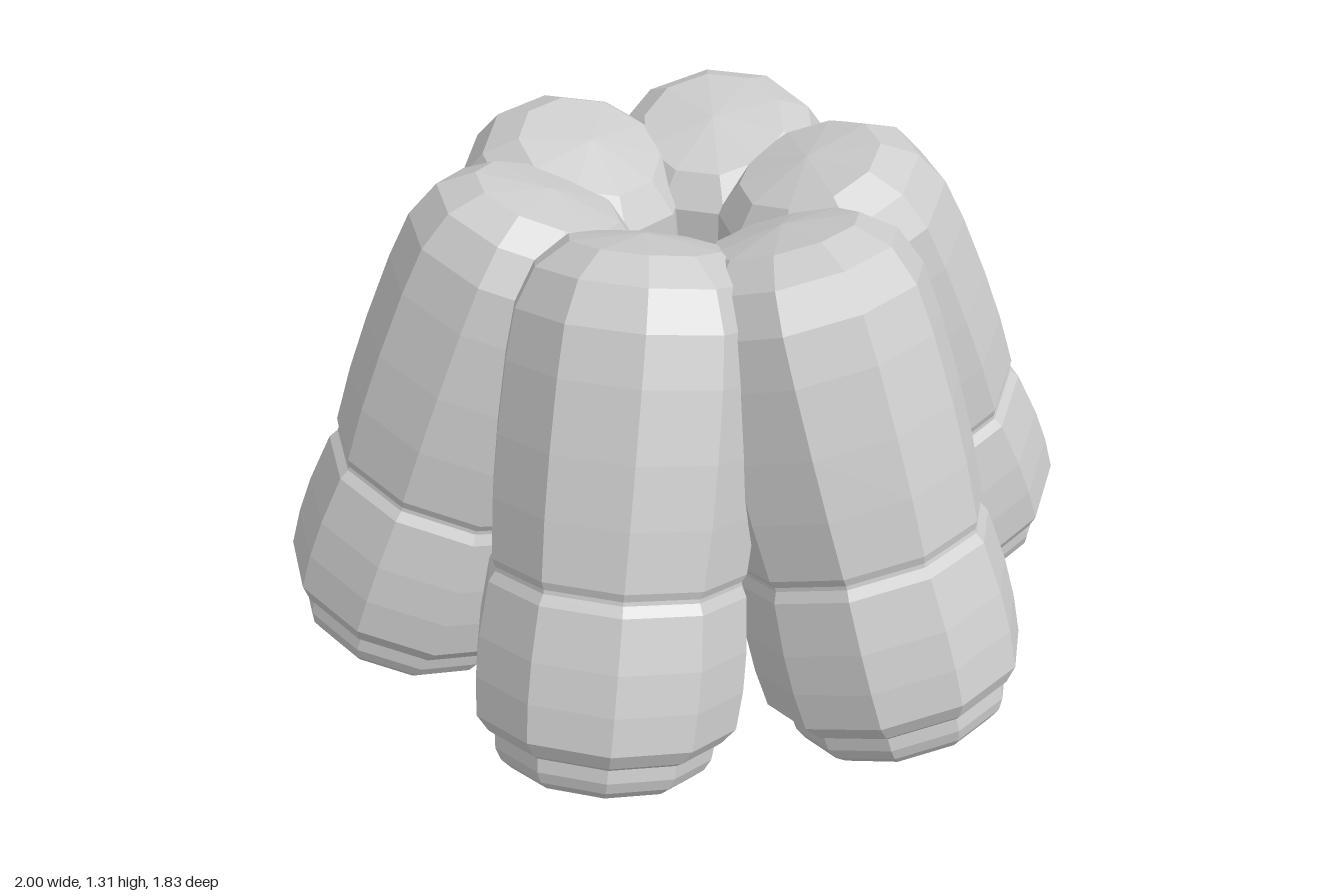
import * as THREE from 'three';

// Pod profile from the recessed floor, round the rim and up to the crown: [radius, height]
const PROFILE = [
  [0, 0.065], [0.165, 0.065], [0.205, -0.005], [0.225, -0.012], // recess and rim
  [0.252, 0.01], [0.268, 0.04], [0.272, 0.075],                 // collar
  [0.288, 0.085], [0.32, 0.125],                                // lower shoulder
  [0.328, 0.22], [0.327, 0.32], [0.314, 0.45],                  // lower barrel
  [0.3, 0.475], [0.3, 0.485], [0.31, 0.505],                    // groove
  [0.318, 0.65], [0.318, 0.8], [0.311, 0.97],                   // upper barrel
  [0.298, 1.09], [0.258, 1.185], [0.18, 1.245], [0, 1.268],     // rounded crown
];

export function createModel() {
  const model = new THREE.Group();
  model.name = 'podCluster';
  const material = new THREE.MeshStandardMaterial({ color: 0xcccccc, flatShading: true });

  // Ten-sided barrel with a flat side facing outward
  const points = PROFILE.map(([r, y]) => new THREE.Vector2(r, y));
  const geometry = new THREE.LatheGeometry(points, 10);

  // Six pods in a ring, their crowns leaning together
  for (let i = 0; i < 6; i++) {
    const arm = new THREE.Group();
    arm.name = `podArm${i + 1}`;
    arm.rotation.y = (i * Math.PI) / 3;
    // Small offsets: side pods sit slightly forward, the others slightly left of centre
    if (i % 3 === 0) arm.position.z = 0.025;
    else arm.position.x = -0.035;

    const pod = new THREE.Mesh(geometry, material);
    pod.name = 'pod';
    pod.position.set(0.76, 0.09, 0);
    pod.rotation.z = THREE.MathUtils.degToRad(20.5);
    arm.add(pod);
    model.add(arm);
  }
  return model;
}
